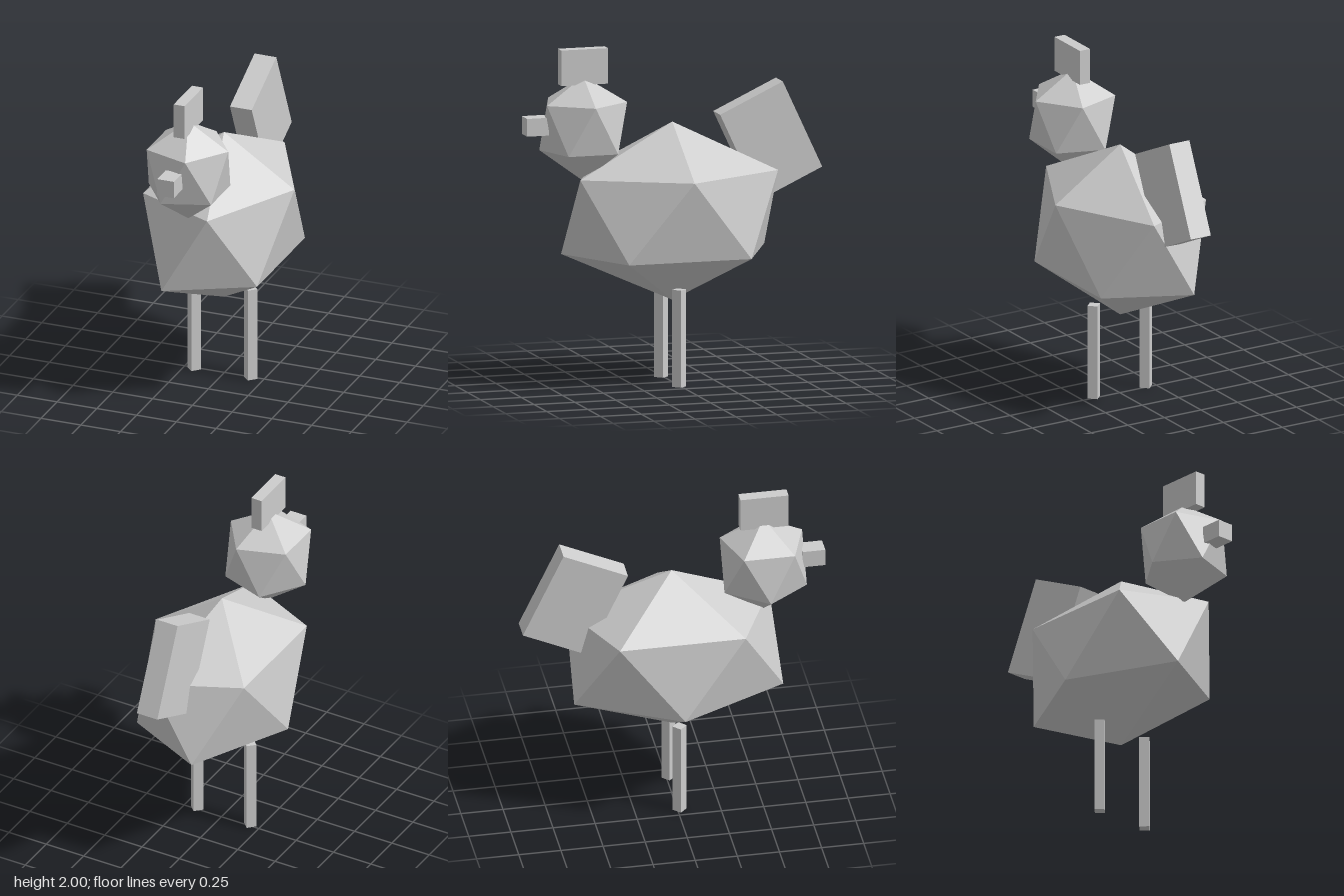
import * as THREE from 'three';

// Twenty-faced solid: two poles and two staggered rings of five points
function facetedSolid({ x, z, rx, rz, top, upper, lower, bottom, frontPush = 0 }) {
  const ring = (y, offset) => Array.from({ length: 5 }, (_, k) => {
    const a = (k + offset) * Math.PI * 2 / 5;
    return [x + rx * Math.cos(a), y, z + rz * Math.sin(a)];
  });
  const U = ring(upper, 0), L = ring(lower, 0.5);
  L[1][2] += frontPush;
  const T = [x, top, z], B = [x, bottom, z];
  const points = [];
  for (let k = 0; k < 5; k++) {
    const n = (k + 1) % 5;
    points.push(
      T, U[n], U[k],
      U[k], U[n], L[k],
      L[n], L[k], U[n],
      B, L[k], L[n]
    );
  }
  const geo = new THREE.BufferGeometry();
  geo.setAttribute('position', new THREE.Float32BufferAttribute(points.flat(), 3));
  geo.computeVertexNormals();
  return geo;
}

export function createModel() {
  const group = new THREE.Group();
  const grey = new THREE.MeshStandardMaterial({ color: 0xcccccc, flatShading: true });
  grey.name = 'light grey';

  const add = (name, geometry, x = 0, y = 0, z = 0) => {
    const mesh = new THREE.Mesh(geometry, grey);
    mesh.name = name;
    mesh.position.set(x, y, z);
    group.add(mesh);
    return mesh;
  };

  // Body and head
  add('body', facetedSolid({
    x: -0.003, z: 0, rx: 0.443, rz: 0.635,
    top: 1.54, upper: 1.245, lower: 0.766, bottom: 0.485, frontPush: 0.033,
  }));
  add('head', facetedSolid({
    x: -0.007, z: 0.543, rx: 0.25, rz: 0.257,
    top: 1.836, upper: 1.684, lower: 1.398, bottom: 1.216,
  }));

  // Comb, beak and tilted tail
  add('comb', new THREE.BoxGeometry(0.069, 0.21, 0.285), -0.008, 1.895, 0.544);
  add('beak', new THREE.BoxGeometry(0.105, 0.105, 0.135), -0.007, 1.557, 0.834);
  const tail = add('tail', new THREE.BoxGeometry(0.137, 0.57, 0.422), -0.007, 1.407, -0.584);
  tail.rotation.x = 0.436;

  // Square legs with a corner facing forward
  for (const [name, x] of [['leftLeg', 0.17], ['rightLeg', -0.185]]) {
    add(name, new THREE.CylinderGeometry(0.042, 0.042, 0.575, 4), x, 0.2875, 0.013);
  }
  return group;
}
